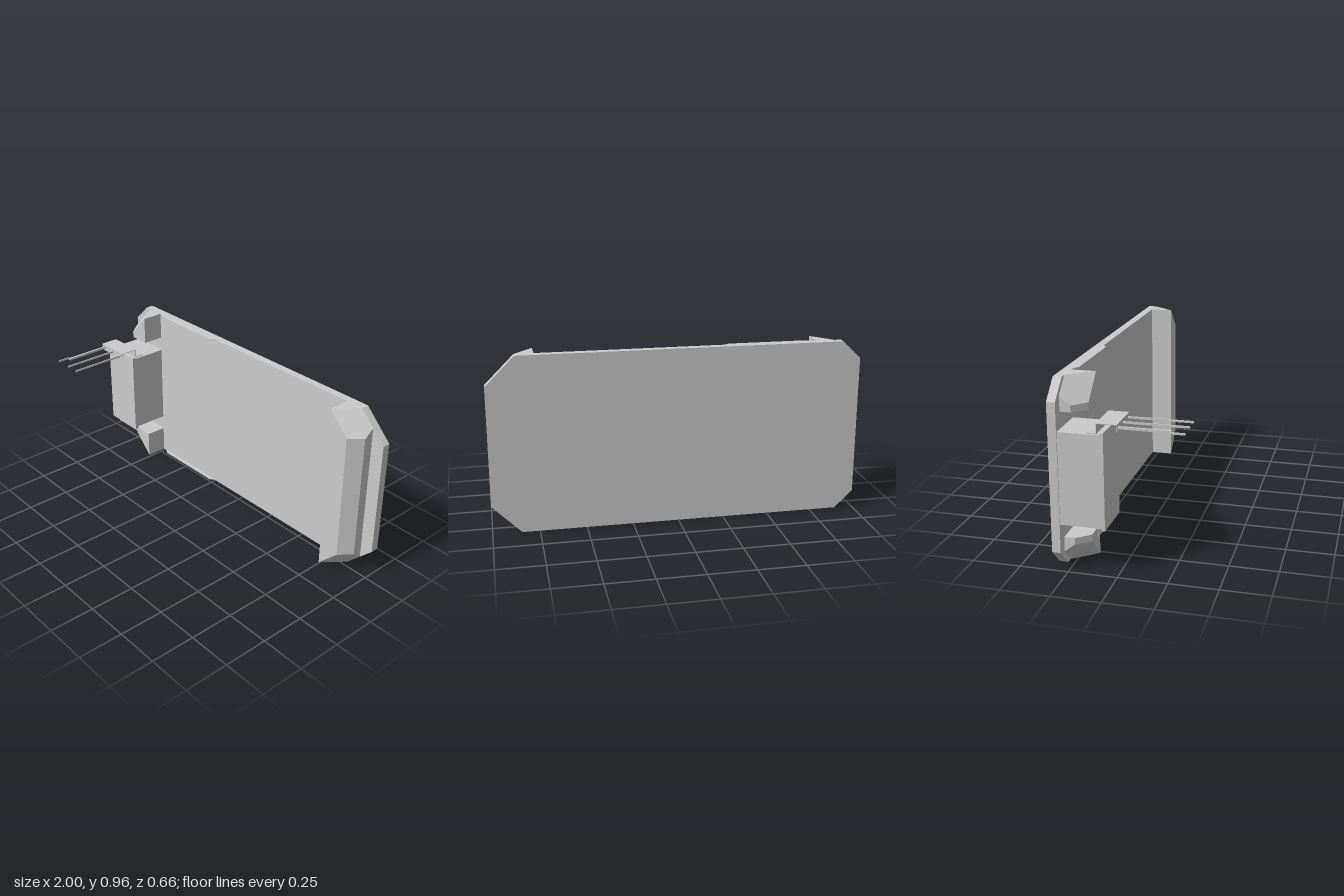
import * as THREE from 'three';
import { ConvexGeometry } from 'three/addons/geometries/ConvexGeometry.js';

const BACK = -0.328, FACE = -0.284, RAISED = -0.16, HEIGHT = 0.957;

const grey = new THREE.MeshStandardMaterial({ color: 0xcccccc, flatShading: true, side: THREE.DoubleSide });

function add(group, name, geometry) {
  const mesh = new THREE.Mesh(geometry, grey);
  mesh.name = name;
  group.add(mesh);
  return mesh;
}

// Box given by its extents on each axis
function box(group, name, [x0, x1], [y0, y1], [z0, z1]) {
  const mesh = add(group, name, new THREE.BoxGeometry(x1 - x0, y1 - y0, z1 - z0));
  mesh.position.set((x0 + x1) / 2, (y0 + y1) / 2, (z0 + z1) / 2);
  return mesh;
}

// Lower end of a raised bumper: a chamfered bar cut by a leaning 45 degree plane.
// "d" is the distance outwards from the inner wall.
const bumperEnd = [
  [0, 0, FACE], [0, 0, RAISED], [0.1, 0, FACE],
  [0.12, 0.12, RAISED], [0.18, 0.123, -0.23], [0.18, 0.08, FACE],
];
// Section of the bar, used where it is cut off square
const bumperSection = [[0, FACE], [0, RAISED], [0.12, RAISED], [0.18, -0.23], [0.18, FACE]];

export function createModel() {
  const model = new THREE.Group();
  model.name = 'panel';

  // Back plate with cut corners
  const outline = new THREE.Shape([
    [-0.9, 0], [0.845, 0], [1, 0.155], [1, 0.802],
    [0.845, HEIGHT], [-0.9, HEIGHT], [-1, 0.86], [-1, 0.097],
  ].map(([x, y]) => new THREE.Vector2(x, y)));
  const plate = new THREE.ExtrudeGeometry(outline, { depth: FACE - BACK, bevelEnabled: false });
  add(model, 'backPlate', plate.translate(0, 0, BACK));

  // Full-height bumper on the wide end
  const bar = bumperEnd.flatMap(([d, y, z]) => [
    new THREE.Vector3(0.745 + d, y, z),
    new THREE.Vector3(0.745 + d, HEIGHT - y, z),
  ]);
  add(model, 'endBumper', new ConvexGeometry(bar));

  // Short corner bumpers on the other end, lower and upper
  for (const upper of [false, true]) {
    const flip = (y) => (upper ? HEIGHT - y : y);
    const points = [
      ...bumperEnd.map(([d, y, z]) => new THREE.Vector3(-0.765 - d, flip(y), z)),
      ...bumperSection.map(([d, z]) => new THREE.Vector3(-0.765 - d, flip(0.157), z)),
    ];
    add(model, upper ? 'upperCornerBumper' : 'lowerCornerBumper', new ConvexGeometry(points));
  }

  // Thin raised lips along the long edges
  const lip = new THREE.Shape([
    [-0.74, FACE], [-0.71, -0.263], [-0.28, -0.263], [-0.255, FACE],
  ].map(([x, z]) => new THREE.Vector2(x, -z)));
  for (const y of [0, HEIGHT - 0.006]) {
    const geometry = new THREE.ExtrudeGeometry(lip, { depth: 0.006, bevelEnabled: false });
    add(model, 'edgeLip', geometry.rotateX(-Math.PI / 2).translate(0, y, 0));
  }

  // Connector housing with a wider front cover
  const connector = new THREE.Group();
  connector.name = 'connector';
  model.add(connector);
  box(connector, 'housing', [-0.995, -0.765], [0.245, 0.716], [FACE, -0.07]);
  box(connector, 'cover', [-1, -0.758], [0.236, 0.729], [-0.074, -0.056]);

  // Sheet tabs under and over the housing
  const width = [-0.983, -0.78];
  box(connector, 'lowerTabFoot', width, [0.241, 0.245], [-0.145, -0.094]);
  box(connector, 'lowerTab', width, [0.195, 0.243], [-0.097, -0.094]);
  box(connector, 'upperTabFoot', width, [0.716, 0.721], [-0.145, -0.094]);
  box(connector, 'upperTab', width, [0.719, 0.77], [-0.097, -0.094]);
  box(connector, 'pinShelf', width, [0.767, 0.77], [-0.097, 0.006]);
  box(connector, 'pinLip', width, [0.733, 0.77], [0.003, 0.006]);

  // Pins: two plain, one with a sleeve and a sideways step
  for (const x of [-0.88, -0.8]) {
    box(connector, 'pin', [x - 0.003, x + 0.003], [0.745, 0.755], [0.003, 0.328]);
  }
  box(connector, 'sleevedPin', [-0.968, -0.956], [0.744, 0.756], [0.003, 0.262]);
  box(connector, 'pinStep', [-0.983, -0.956], [0.745, 0.755], [0.257, 0.262]);
  box(connector, 'pinTip', [-0.983, -0.978], [0.745, 0.755], [0.257, 0.328]);

  return model;
}
